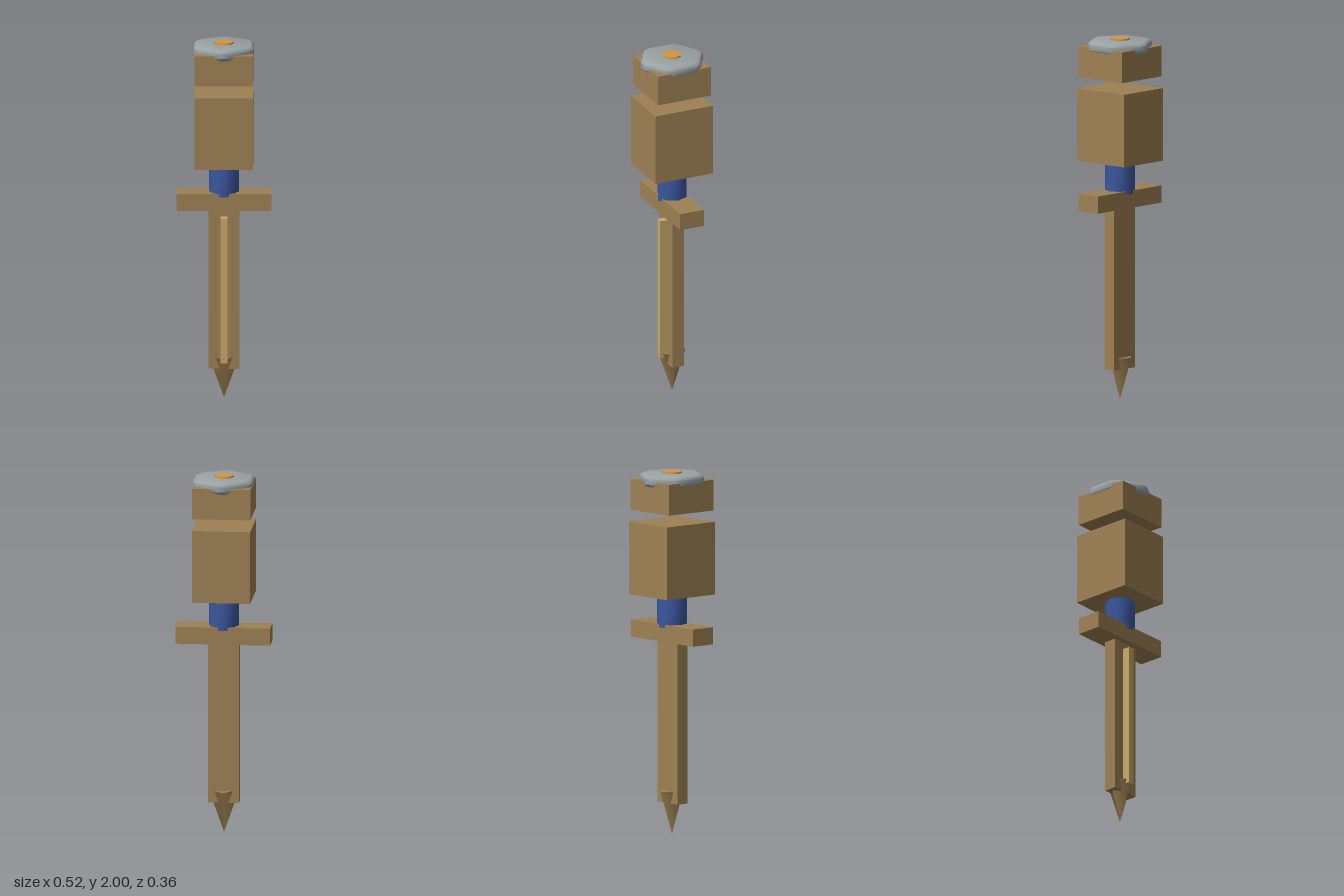
import * as THREE from 'three';
import { toCreasedNormals } from 'three/addons/utils/BufferGeometryUtils.js';

const material = (name, color) => {
  const m = new THREE.MeshStandardMaterial({ color });
  m.name = name;
  return m;
};

// Closed loft of a hexagon with clipped corners; rings are [y, scale]
function cappedHexagon(radius, clipAngle, rings) {
  const n = 12, pos = [], index = [];
  for (const [y, s] of rings) {
    for (let i = 0; i < n; i++) {
      const a = Math.floor(i / 2) * Math.PI / 3 + (i % 2 ? clipAngle : -clipAngle);
      pos.push(Math.sin(a) * radius * s, y, Math.cos(a) * radius * s);
    }
  }
  for (let r = 0; r < rings.length - 1; r++) {
    for (let i = 0; i < n; i++) {
      const a = r * n + i, b = r * n + (i + 1) % n;
      index.push(a, b, b + n, a, b + n, a + n);
    }
  }
  const top = (rings.length - 1) * n;
  for (let i = 1; i < n - 1; i++) {
    index.push(0, i + 1, i, top, top + i, top + i + 1);
  }
  const g = new THREE.BufferGeometry();
  g.setAttribute('position', new THREE.Float32BufferAttribute(pos, 3));
  g.setIndex(index);
  return toCreasedNormals(g, 0.6);
}

export function createModel() {
  const model = new THREE.Group();
  const wood = material('wood brown', 0x9e8154);
  const paleWood = material('pale wood', 0xc8aa6c);
  const blue = material('blue wrap', 0x3b579f);
  const steel = material('grey metal', 0x99a2a4);
  const orange = material('orange', 0xd4943f);

  const add = (name, geometry, mat) => {
    const mesh = new THREE.Mesh(geometry, mat);
    mesh.name = name;
    model.add(mesh);
  };
  // Box given by its extents on each axis
  const box = (name, [x0, x1], [y0, y1], [z0, z1], mat) => add(name,
    new THREE.BoxGeometry(x1 - x0, y1 - y0, z1 - z0)
      .translate((x0 + x1) / 2, (y0 + y1) / 2, (z0 + z1) / 2), mat);
  // Upright prism or cone from y0 to y1, with a corner facing front
  const prism = (name, rTop, rBottom, y0, y1, sides, mat) => add(name,
    toCreasedNormals(new THREE.CylinderGeometry(rTop, rBottom, y1 - y0, sides)
      .translate(0, (y0 + y1) / 2, 0), 0.9), mat);

  // Blade with raised strip and four-sided point
  box('blade', [-0.085, 0.085], [0.17, 1.07], [-0.033, 0.037], wood);
  box('bladeStrip', [-0.019, 0.019], [0.21, 1.025], [0.03, 0.08], paleWood);
  add('bladeTip', new THREE.CylinderGeometry(0.083, 0, 0.235, 4)
    .translate(0, 0.1175, 0), wood);

  // Crossbar and grip
  box('crossbar', [-0.26, 0.26], [1.065, 1.16], [-0.072, 0.072], wood);
  prism('grip', 0.083, 0.083, 1.143, 1.33, 8, blue);

  // Large block and the separate cap block floating above it
  box('bodyBlock', [-0.16, 0.16], [1.32, 1.722], [-0.174, 0.174], wood);
  box('capBlock', [-0.16, 0.16], [1.785, 1.955], [-0.16, 0.16], wood);

  // Rounded hexagonal plate with a small octagonal stud
  add('capPlate', cappedHexagon(0.179, 0.112,
    [[1.924, 0.88], [1.93, 0.95], [1.943, 1], [1.972, 1], [1.985, 0.95], [1.991, 0.87]]), steel);
  prism('capStud', 0.053, 0.056, 1.97, 2.0, 8, orange);

  return model;
}
